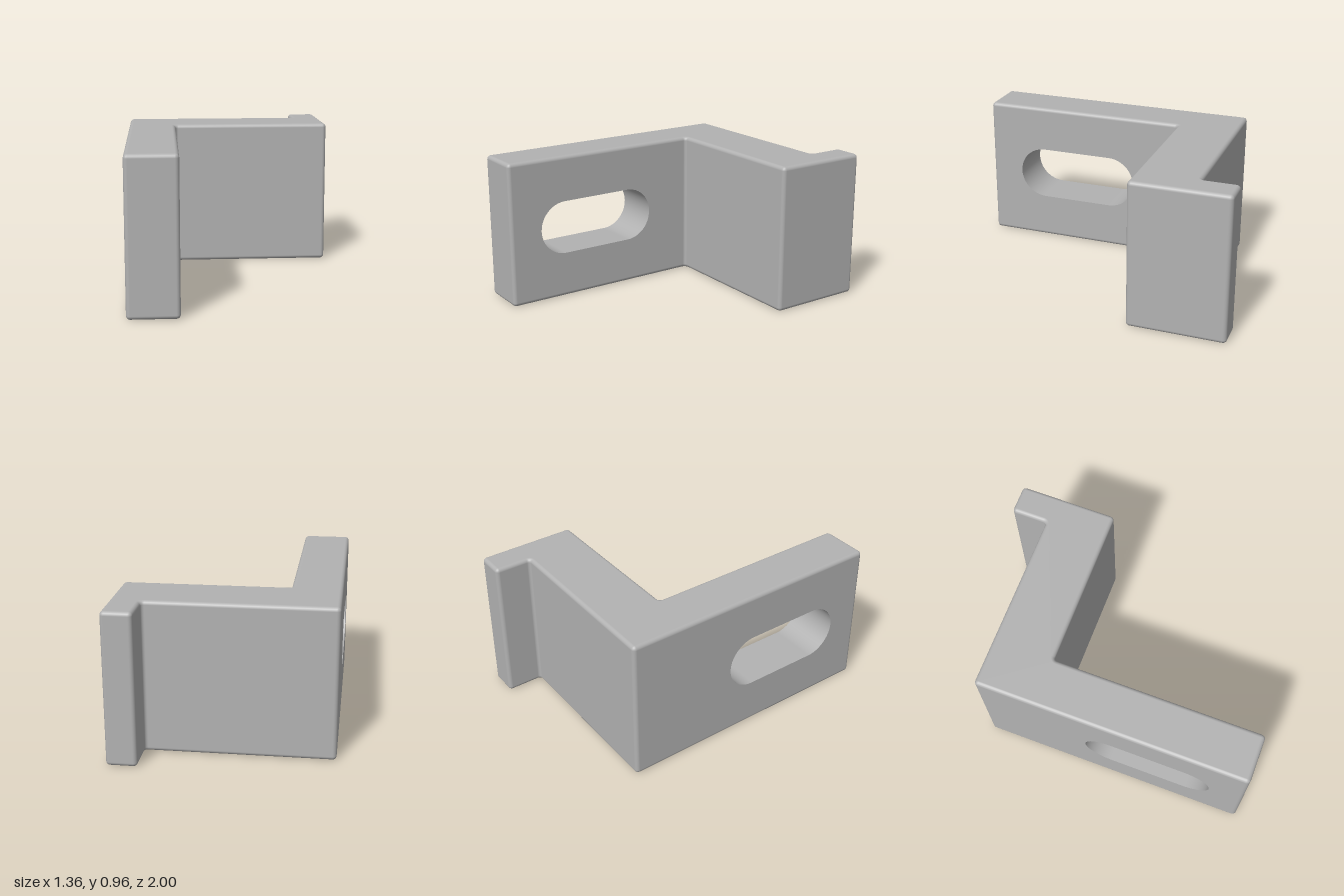
import * as THREE from 'three';

const H = 0.96;          // bracket height
const R = 0.025;         // rounded outer edges
const FILLET = 0.02;     // inner corners
const X0 = -0.68, X1 = -0.365, Z0 = -0.765, Z1 = -0.365;
const STEPS = 5;

// Plan outline as [x, z] corners
const PLAN = [
  [X0, Z0], [0.487, Z0], [0.487, -1], [0.678, -1],
  [0.678, Z1], [X1, Z1], [X1, 1], [X0, 1],
];

// Plan outline with rounded corners, moved inward by d; each point carries its outward normal
function outline(d) {
  const n = PLAN.length, out = [];
  const normal = (a, b) => {
    const dx = b[0] - a[0], dz = b[1] - a[1], l = Math.hypot(dx, dz);
    return [dz / l, -dx / l];
  };
  PLAN.forEach((p, i) => {
    const a = normal(PLAN[(i + n - 1) % n], p), b = normal(p, PLAN[(i + 1) % n]);
    const s = a[0] * b[1] - a[1] * b[0] > 0 ? R : -FILLET;
    for (let k = 0; k <= STEPS; k++) {
      const t = (k / STEPS) * Math.PI / 2, c = Math.cos(t), w = Math.sin(t);
      const nx = a[0] * c + b[0] * w, nz = a[1] * c + b[1] * w;
      out.push({
        x: p[0] - (a[0] + b[0]) * s + nx * (s - d),
        z: p[1] - (a[1] + b[1]) * s + nz * (s - d), nx, nz,
      });
    }
  });
  return out;
}

// Skin closed rings of { p, n }; skip(level, index) leaves a quad open
function loft(rings, skip = () => false) {
  const m = rings[0].length, index = [];
  for (let l = 0; l < rings.length - 1; l++) {
    for (let i = 0; i < m; i++) {
      if (skip(l, i)) continue;
      const j = (i + 1) % m, a = l * m + i, b = l * m + j;
      index.push(a, a + m, b, b, a + m, b + m);
    }
  }
  const geo = new THREE.BufferGeometry();
  const flat = rings.flat();
  geo.setAttribute('position', new THREE.Float32BufferAttribute(flat.flatMap(v => v.p), 3));
  geo.setAttribute('normal', new THREE.Float32BufferAttribute(flat.flatMap(v => v.n), 3));
  geo.setIndex(index);
  return geo;
}

// Stadium outline of the slot in (z, y)
function slotOutline() {
  const r = 0.178, pts = [], seg = 24;
  for (const [cz, start] of [[0.603, -Math.PI / 2], [0.123, Math.PI / 2]]) {
    for (let k = 0; k <= seg; k++) {
      const t = start + (k / seg) * Math.PI;
      const c = Math.cos(t), s = Math.sin(t);
      pts.push({ z: cz + r * c, y: H / 2 + r * s, nz: -c, ny: -s });
    }
  }
  return pts;
}

export function createModel() {
  const group = new THREE.Group();
  const grey = new THREE.MeshStandardMaterial({ color: 0xb2b2b2 });
  grey.name = 'grey';
  const add = (name, geo) => {
    const mesh = new THREE.Mesh(geo, grey);
    mesh.name = name;
    group.add(mesh);
  };

  // Side walls with rounded top and bottom edges
  const rings = [];
  for (const top of [0, 1]) {
    for (let k = 0; k <= STEPS; k++) {
      const phi = (k / STEPS - 1 + top) * Math.PI / 2;
      const c = Math.cos(phi), s = Math.sin(phi);
      const y = (top ? H - R : R) + R * s;
      rings.push(outline(R * (1 - c)).map(q => ({
        p: [q.x, y, q.z], n: [q.nx * c, s, q.nz * c],
      })));
    }
  }
  // The two arm faces stay open for the slotted panels
  const per = STEPS + 1;
  const open = [6 * per - 1, 8 * per - 1];
  add('sideWalls', loft(rings, (l, i) => l === STEPS && open.includes(i)));

  // Flat top and bottom
  const inner = outline(R);
  const cap = sign => new THREE.ShapeGeometry(
    new THREE.Shape(inner.map(q => new THREE.Vector2(q.x, -sign * q.z))),
  ).rotateX(-sign * Math.PI / 2).translate(0, sign > 0 ? H : 0, 0);
  add('topFace', cap(1));
  add('bottomFace', cap(-1));

  // Arm faces pierced by the slot; side +1 faces +x, -1 faces -x
  const slot = slotOutline();
  const panel = (side, x, za, zb) => {
    const v = (z, y) => new THREE.Vector2(-side * z, y);
    const shape = new THREE.Shape([v(za, R), v(zb, R), v(zb, H - R), v(za, H - R)]);
    shape.holes.push(new THREE.Path(slot.map(q => v(q.z, q.y))));
    return new THREE.ShapeGeometry(shape).rotateY(side * Math.PI / 2).translate(x, 0, 0);
  };
  add('armInnerFace', panel(1, X1, Z1 + FILLET, 1 - R));
  add('armOuterFace', panel(-1, X0, Z0 + R, 1 - R));

  // Wall of the slot
  add('slotWall', loft([X1, X0].map(x => slot.map(q => ({
    p: [x, q.y, q.z], n: [0, q.ny, q.nz],
  })))));

  return group;
}
